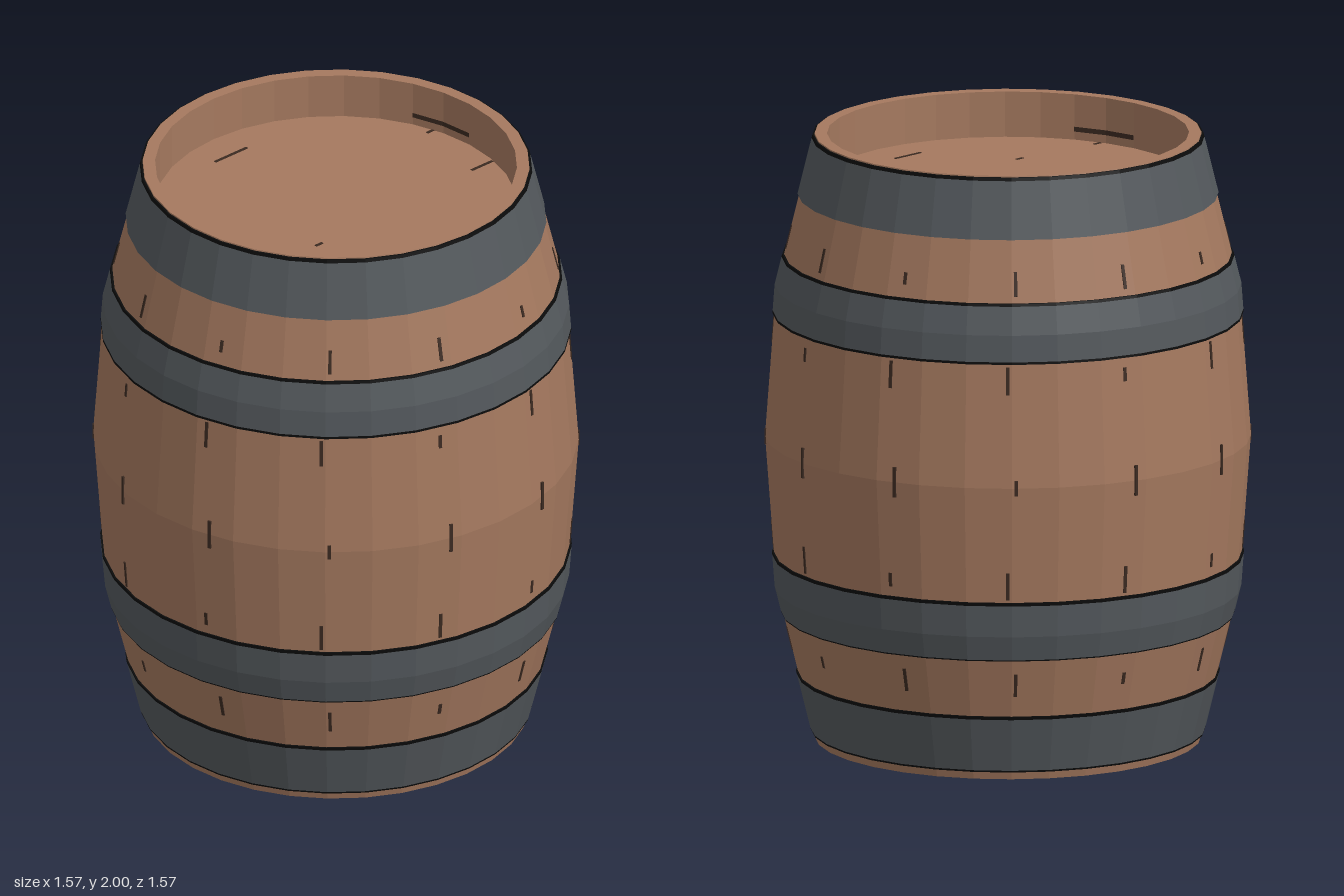
import * as THREE from 'three';

const SIDES = 32;
const STEP = (Math.PI * 2) / SIDES;
const PROFILE = [[0.625, 0], [0.748, 0.5], [0.785, 1], [0.748, 1.5], [0.625, 2]];
const RIM = 0.585, LID = 0.15;

const mat = (name, color, side = THREE.FrontSide) =>
  new THREE.MeshStandardMaterial({ name, color, side, flatShading: true });

// radius of the barrel at a height
function radiusAt(y) {
  const i = Math.min(3, Math.max(0, Math.floor(y * 2)));
  return THREE.MathUtils.lerp(PROFILE[i][0], PROFILE[i + 1][0], y * 2 - i);
}

function lathe(points, segments = SIDES, start = 0, length = Math.PI * 2) {
  return new THREE.LatheGeometry(points.map(p => new THREE.Vector2(...p)), segments, start, length);
}

// closed ring that hugs the barrel between two heights
function ring(y0, y1, out) {
  const heights = [y0, ...PROFILE.map(p => p[1]).filter(y => y > y0 && y < y1), y1];
  const outer = heights.map(y => [radiusAt(y) + out, y]);
  return lathe([[radiusAt(y0) - 0.005, y0], ...outer, [radiusAt(y1) - 0.005, y1]]);
}

export function createModel() {
  const wood = mat('wood', 0xa5795f);
  const iron = mat('iron', 0x54595d);
  const black = mat('blackEdge', 0x0b0b0b);
  const grain = mat('darkGrain', 0x3b2a21, THREE.DoubleSide);

  const barrel = new THREE.Group();
  barrel.name = 'barrel';
  const add = (name, geometry, material, parent = barrel) => {
    const mesh = new THREE.Mesh(geometry, material);
    mesh.name = name;
    parent.add(mesh);
    return mesh;
  };

  // staves, rims and both recessed lids
  add('staves', lathe([
    [0, LID], [RIM, LID], [RIM, 0], ...PROFILE, [RIM, 2], [RIM, 2 - LID], [0, 2 - LID],
  ]), wood);

  // iron hoops with dark edges: bottom, top, lower edge height, upper edge height
  const hoops = [
    [0.025, 0.22, 0.006, 0.011],
    [0.415, 0.615, 0.004, 0.011],
    [1.405, 1.6, 0.008, 0.009],
    [1.8, 1.996, 0, 0.011],
  ];
  for (const [y0, y1, low, high] of hoops) {
    add('hoop', ring(y0 + low, y1 - high, 0.006), iron);
    if (low) add('hoopLowerEdge', ring(y0, y0 + low, 0.006), black);
    add('hoopUpperEdge', ring(y1 - high, y1, 0.006), black);
  }

  // short cracks down the staves
  const cracks = new THREE.Group();
  cracks.name = 'cracks';
  barrel.add(cracks);
  const rows = [[1.66, 0.08], [1.35, 0.09], [1, 0.1], [0.67, 0.09], [0.33, 0.08]];
  for (let c = 0; c < 12; c++) {
    rows.forEach(([y, size], r) => {
      const angle = THREE.MathUtils.degToRad(15 + c * 30 + (r % 2 ? -1 : 1));
      const inFacet = (angle % STEP) - STEP / 2;
      const radius = radiusAt(y) * Math.cos(STEP / 2) / Math.cos(inFacet);
      const slope = (radiusAt(y + 0.03) - radiusAt(y - 0.03)) / 0.06;
      const length = (c + r) % 3 ? size : size * 0.5;
      const crack = add('crack', new THREE.BoxGeometry(0.011, length, 0.008), grain, cracks);
      crack.position.set(Math.sin(angle) * (radius - 0.001), y, Math.cos(angle) * (radius - 0.001));
      crack.rotation.set(Math.atan(slope), angle, 0, 'YXZ');
    });
  }

  // grain marks on the lids: x, z, length
  const marks = [[0.13, -0.52, 0.09], [-0.15, -0.55, 0.03], [-0.47, 0.03, 0.14],
    [0.45, 0, 0.12], [0.16, 0.22, 0.03], [0.13, 0.55, 0.03], [-0.15, 0.55, 0.02]];
  for (const y of [LID, 2 - LID]) {
    for (const [x, z, length] of marks) {
      add('lidMark', new THREE.BoxGeometry(0.01, 0.004, length), grain).position.set(x, y, z);
    }
  }

  // long grain streaks inside the rims: height, start angle in degrees
  for (const [y, from] of [[1.885, 5], [1.885, 185], [0.115, 148], [0.115, 328]]) {
    const start = Math.round(THREE.MathUtils.degToRad(from) / STEP) * STEP;
    add('rimStreak', lathe([[RIM - 0.002, y - 0.008], [RIM - 0.002, y + 0.008]], 2, start, STEP * 2), grain);
  }
  return barrel;
}
